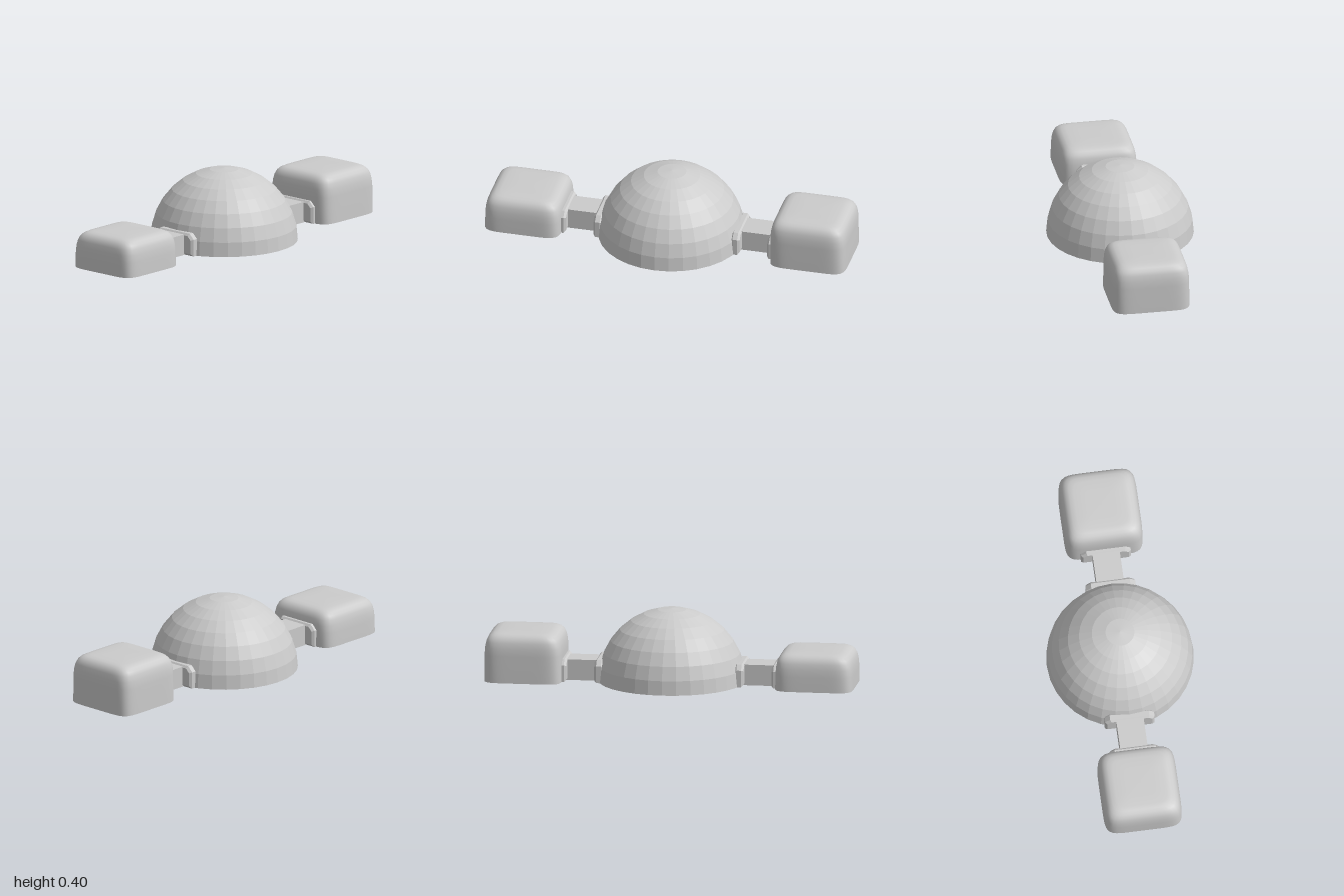
import * as THREE from 'three';
import { mergeVertices } from 'three/addons/utils/BufferGeometryUtils.js';

const grey = (flatShading) => new THREE.MeshStandardMaterial({ color: 0xcccccc, flatShading, side: THREE.DoubleSide });
const smooth = grey(false);
const flat = grey(true);

function addMesh(parent, name, geometry, material, x = 0, y = 0, z = 0) {
  const mesh = new THREE.Mesh(geometry, material);
  mesh.name = name;
  mesh.position.set(x, y, z);
  parent.add(mesh);
  return mesh;
}

// Open-bottomed pillow box: a lathe squared off by a superellipse rule
function podGeometry(height) {
  const profile = [
    [0.211, 0], [0.21, height - 0.12], [0.207, height - 0.08], [0.201, height - 0.05],
    [0.192, height - 0.03], [0.178, height - 0.015], [0.16, height - 0.006],
    [0.135, height - 0.002], [0.08, height], [0, height],
  ].map(([r, y]) => new THREE.Vector2(r, y));
  const lathe = new THREE.LatheGeometry(profile, 80);
  const p = lathe.attributes.position;
  const n = 7;
  for (let i = 0; i < p.count; i++) {
    const x = p.getX(i), z = p.getZ(i), r = Math.hypot(x, z);
    if (r < 1e-6) continue;
    const k = Math.pow(Math.pow(Math.abs(x / r), n) + Math.pow(Math.abs(z / r), n), -1 / n);
    p.setX(i, x * k);
    p.setZ(i, z * k);
  }
  lathe.deleteAttribute('uv');
  lathe.deleteAttribute('normal');
  const geometry = mergeVertices(lathe, 1e-5);
  geometry.computeVertexNormals();
  return geometry;
}

// Plate with clipped upper corners and bevelled rims, centred on z = 0
function flangeGeometry(width, height, depth, bevel) {
  const w = width / 2 - bevel, top = height - bevel, cut = 0.022;
  const shape = new THREE.Shape([
    [-w, bevel], [w, bevel], [w, top - cut], [w - cut, top], [-w + cut, top], [-w, top - cut],
  ].map(([x, y]) => new THREE.Vector2(x, y)));
  const geometry = new THREE.ExtrudeGeometry(shape, {
    depth: depth - 2 * bevel, bevelEnabled: true, bevelSize: bevel, bevelThickness: bevel, bevelSegments: 1,
  });
  return geometry.translate(0, 0, bevel - depth / 2);
}

// Passage between dome and pod, open underneath
function passage() {
  const group = new THREE.Group();
  group.name = 'passage';
  const length = 0.17, mid = 0.48, height = 0.113, half = 0.074;
  addMesh(group, 'passageRoof', new THREE.PlaneGeometry(2 * half, length).rotateX(-Math.PI / 2), flat, 0, height, mid);
  for (const s of [-1, 1]) {
    addMesh(group, 'passageWall', new THREE.PlaneGeometry(length, height).rotateY(s * Math.PI / 2), flat, s * half, height / 2, mid);
  }
  const flange = flangeGeometry(0.27, 0.121, 0.05, 0.012);
  addMesh(group, 'domeFlange', flange, flat, 0, 0, 0.38);
  addMesh(group, 'podFlange', flange, flat, 0, 0, 0.581);
  // Raised hatch panels on the inner faces
  const hatch = new THREE.BoxGeometry(0.14, 0.075, 0.008);
  addMesh(group, 'domeHatch', hatch, flat, 0, 0.062, 0.352);
  addMesh(group, 'podHatch', hatch, flat, 0, 0.062, 0.609);
  return group;
}

export function createModel() {
  const model = new THREE.Group();
  model.name = 'domeHabitat';

  // Faceted central dome, open underneath
  addMesh(model, 'dome', new THREE.SphereGeometry(0.397, 32, 8, 0, Math.PI * 2, 0, Math.PI / 2), flat);

  // Lower pod in front, taller pod behind
  addMesh(model, 'frontPod', podGeometry(0.2), smooth, 0, 0, 0.789);
  addMesh(model, 'backPod', podGeometry(0.267), smooth, 0, 0, -0.789);

  const front = passage();
  const back = passage();
  back.rotation.y = Math.PI;
  model.add(front, back);
  return model;
}
